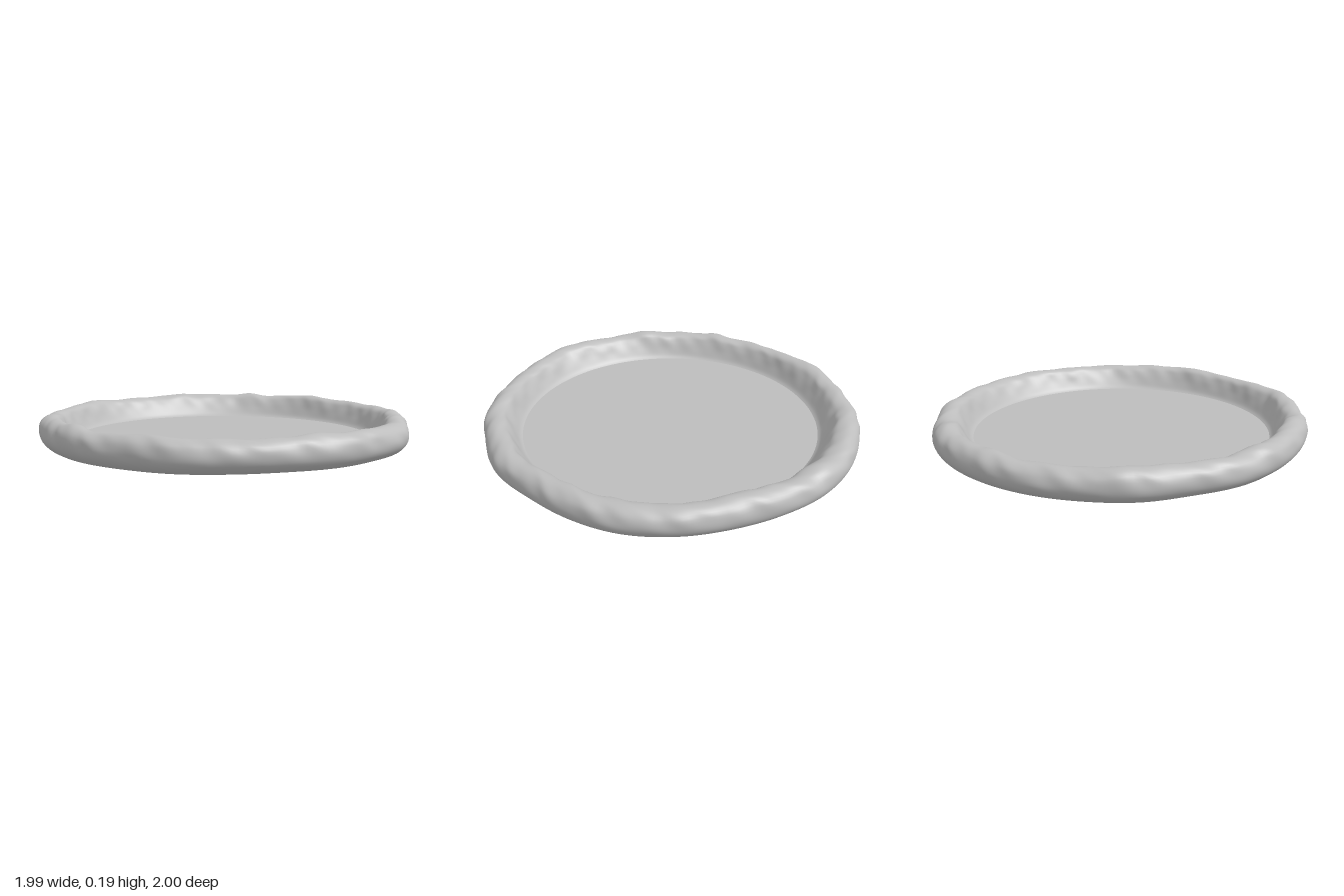
import * as THREE from 'three';
import { mergeVertices } from 'three/addons/utils/BufferGeometryUtils.js';

const clay = new THREE.MeshStandardMaterial({ color: 0xbdbdbd });
clay.name = 'plain grey';

// Outer radius every 15 degrees, turning from +x towards +z
const OUTLINE = [0.99, 1.0, 1.006, 0.993, 0.984, 1.005, 0.995, 0.998, 0.982, 0.99, 1.006, 0.998,
  0.995, 0.986, 0.984, 0.988, 0.978, 0.998, 1.0, 1.008, 1.014, 1.02, 1.015, 0.996];

// Raised lumps on the crest: angle in degrees, height, width in degrees
const LUMPS = [[187, 0.016, 6], [215, 0.01, 5], [352, 0.012, 7], [328, 0.012, 4],
  [300, 0.008, 4], [112, 0.01, 5], [160, 0.01, 6], [258, 0.008, 4]];

// Smooth periodic lookup in the outline
function outerRadius(deg) {
  const n = OUTLINE.length, f = deg / 15, i = Math.floor(f), t = f - i;
  const [a, b, c, d] = [-1, 0, 1, 2].map(k => OUTLINE[(i + k + n) % n]);
  return b + 0.5 * t * (c - a + t * (2 * a - 5 * b + 4 * c - d + t * (3 * (b - c) + d - a)));
}

function crestLift(deg) {
  return LUMPS.reduce((sum, [at, h, w]) => {
    const d = ((deg - at + 540) % 360) - 180;
    return sum + h * Math.exp(-(d * d) / (w * w));
  }, 0);
}

// Hand-pressed rim with its underside: a turned profile made uneven
function rimGeometry() {
  const curve = new THREE.SplineCurve([
    [0.90, 0.012], [0.95, 0.022], [0.986, 0.055], [0.997, 0.095], [0.985, 0.138],
    [0.955, 0.164], [0.92, 0.171], [0.885, 0.16], [0.862, 0.132], [0.84, 0.095],
    [0.818, 0.06], [0.80, 0.044], [0.785, 0.035],
  ].map(p => new THREE.Vector2(...p)));
  const profile = [[0, 0], [0.3, 0.001], [0.6, 0.004], [0.82, 0.009]]
    .map(p => new THREE.Vector2(...p)).concat(curve.getPoints(40));
  let geo = new THREE.LatheGeometry(profile, 240);
  geo.deleteAttribute('uv');
  geo.deleteAttribute('normal');
  geo = mergeVertices(geo, 1e-5);

  const pos = geo.attributes.position;
  for (let i = 0; i < pos.count; i++) {
    const x = pos.getX(i), y = pos.getY(i), z = pos.getZ(i);
    const r = Math.hypot(x, z);
    if (r < 0.01) continue;
    const a = Math.atan2(z, x);
    const deg = (a * 180 / Math.PI + 360) % 360;
    const edge = THREE.MathUtils.smoothstep(r, 0.8, 0.93);
    const high = THREE.MathUtils.smoothstep(y, 0.05, 0.165);
    // Soft finger dents running around the rim
    const dent = 0.004 * Math.sin(13 * a + 24 * y + 1) + 0.003 * Math.sin(29 * a - 40 * y)
      + 0.002 * Math.sin(47 * a + 60 * r);
    const newR = r + edge * (outerRadius(deg) - 0.997) + dent * high;
    const lift = crestLift(deg) + 0.003 * Math.sin(7 * a + 2) + 0.002 * Math.sin(23 * a + 30 * r);
    pos.setXYZ(i, newR * Math.cos(a), y + high * lift, newR * Math.sin(a));
  }
  geo.computeVertexNormals();
  return geo;
}

export function createModel() {
  const group = new THREE.Group();
  group.name = 'shallowDish';

  const rim = new THREE.Mesh(rimGeometry(), clay);
  rim.name = 'rimAndUnderside';
  group.add(rim);

  // Flat floor inside the rim
  const floor = new THREE.Mesh(new THREE.CircleGeometry(0.803, 120).rotateX(-Math.PI / 2), clay);
  floor.name = 'floor';
  floor.position.y = 0.045;
  group.add(floor);

  return group;
}
